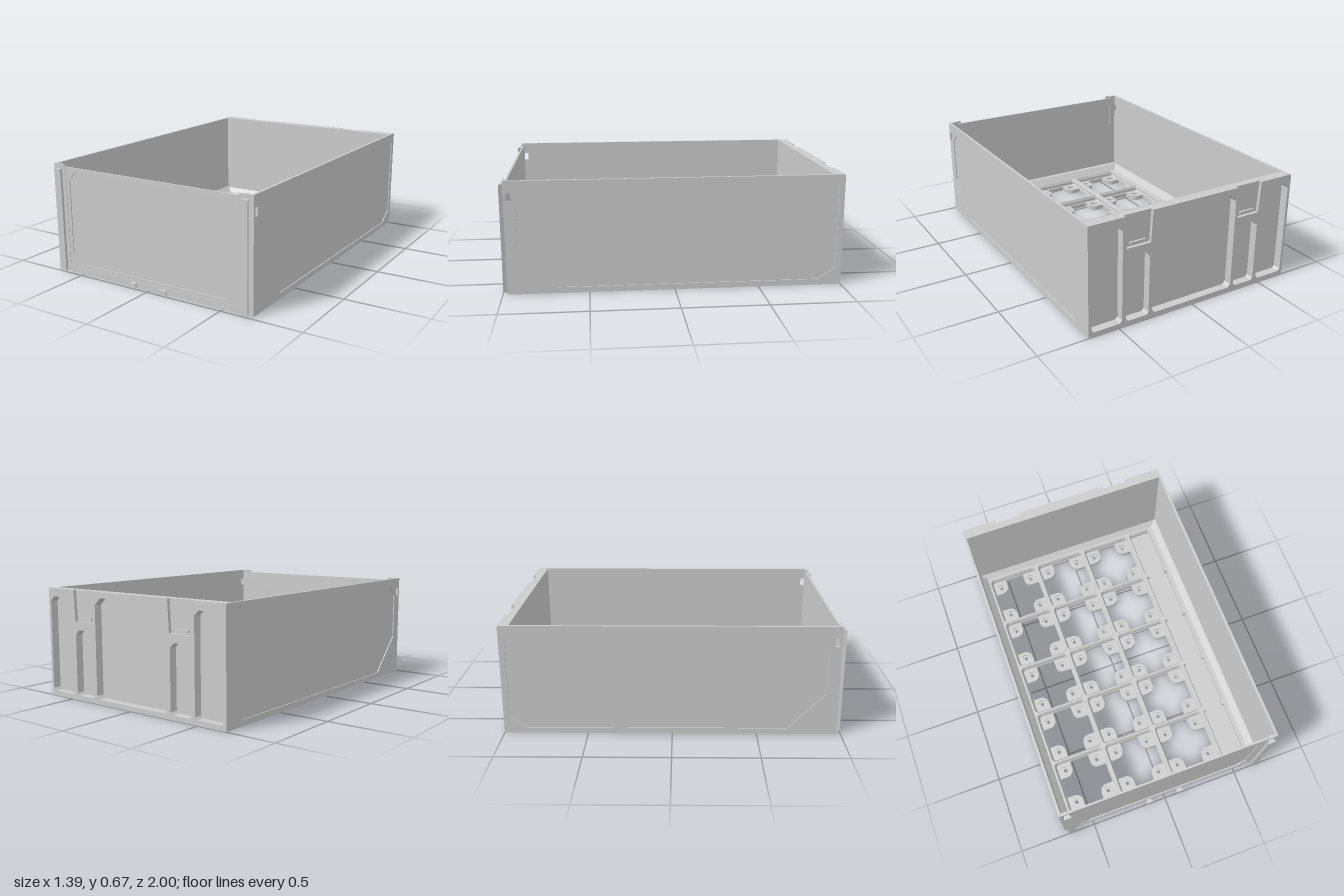
import * as THREE from 'three';

const mat = new THREE.MeshStandardMaterial({ color: 0xcccccc, side: THREE.DoubleSide });
const V = (p) => p.map(([a, b]) => new THREE.Vector2(a, b));
const W = 0.693, H = 0.67;

// Outlines
const rect = (x0, y0, x1, y1) => [[x0, y0], [x1, y0], [x1, y1], [x0, y1]];
// Rectangle with corner cuts: bottom left, bottom right, top right, top left
const cutRect = (x0, y0, x1, y1, [a, b, c, d]) => [
  [x0 + a, y0], [x1 - b, y0], [x1, y0 + b], [x1, y1 - c],
  [x1 - c, y1], [x0 + d, y1], [x0, y1 - d], [x0, y0 + a]];
const arc = (cx, cy, r, a0, a1, n = 6) => Array.from({ length: n + 1 }, (_, i) => {
  const a = a0 + (a1 - a0) * i / n;
  return [cx + r * Math.cos(a), cy + r * Math.sin(a)];
});
const circle = (cx, cy, r) => arc(cx, cy, r, 0, Math.PI * 2, 16).slice(0, -1);
const roundRect = (cx, cy, hx, hy, r) => [[1, 1], [-1, 1], [-1, -1], [1, -1]].flatMap(([sx, sy], i) =>
  arc(cx + sx * (hx - r), cy + sy * (hy - r), r, i * Math.PI / 2, (i + 1) * Math.PI / 2));
// Cross-shaped opening leaving a rounded pad in each corner
const crossHole = (cx, cy) => [0, 1, 2, 3].flatMap((i) => {
  const c = Math.cos(i * Math.PI / 2), s = Math.sin(i * Math.PI / 2);
  return [[0.16, 0.065], ...arc(0.111, 0.111, 0.046, -Math.PI / 2, -Math.PI), [0.065, 0.16]]
    .map(([x, y]) => [cx + x * c - y * s, cy + x * s + y * c]);
});

const shape = (outline, holes = []) => {
  const s = new THREE.Shape(V(outline));
  s.holes = holes.map((h) => new THREE.Path(V(h)));
  return s;
};
const extrude = (outline, holes, depth) =>
  new THREE.ExtrudeGeometry(shape(outline, holes), { depth, bevelEnabled: false });

// Walls through stacked rings, each given as [points, height]
function loft(rings) {
  const n = rings[0][0].length, pos = [], idx = [];
  rings.forEach(([pts, y]) => pts.forEach(([x, v]) => pos.push(x, y, -v)));
  for (let k = 0; k < rings.length - 1; k++) for (let i = 0; i < n; i++) {
    const a = k * n + i, b = k * n + (i + 1) % n;
    idx.push(a, a + n, b, b, a + n, b + n);
  }
  let g = new THREE.BufferGeometry();
  g.setAttribute('position', new THREE.Float32BufferAttribute(pos, 3));
  g.setIndex(idx);
  g = g.toNonIndexed();
  g.computeVertexNormals();
  return g;
}

export function createModel() {
  const root = new THREE.Group();
  const add = (name, geo, x = 0, y = 0, z = 0) => {
    const m = new THREE.Mesh(geo, mat);
    m.name = name;
    m.position.set(x, y, z);
    root.add(m);
    return m;
  };
  const box = (name, sx, sy, sz, x, y, z) => add(name, new THREE.BoxGeometry(sx, sy, sz), x, y, z);

  // Floor with cross openings and stepped screw holes
  const cells = [];
  for (const x of [-0.45, -0.09, 0.27]) for (let r = -2; r <= 2; r++) cells.push([x, r * 0.358]);
  const crosses = cells.map(([x, z]) => crossHole(x, z));
  const screws = (r) => cells.flatMap(([x, z]) => [[1, 1], [1, -1], [-1, 1], [-1, -1]]
    .map(([a, b]) => circle(x + a * 0.111, z + b * 0.111, r)));
  const floor = (name, r, y, d) => add(name,
    extrude(rect(-0.685, -0.97, 0.685, 0.995), [...crosses, ...screws(r)], d).rotateX(-Math.PI / 2), 0, y);
  floor('floorLower', 0.012, 0, 0.02);
  floor('floorUpper', 0.026, 0.02, 0.01);

  // Cell grid with sloped rib sides, and the long side tray
  const top = 0.07, strip = (d) => roundRect(0.538, 0, 0.082 - d, 0.89 - d, 0.016);
  const cellRing = (x, z, h) => roundRect(x, z, h, h, h - 0.145);
  add('ribTops', new THREE.ShapeGeometry(shape(rect(-0.645, -0.93, 0.645, 0.94),
    [...cells.map(([x, z]) => cellRing(x, z, 0.174)), strip(0)])).rotateX(-Math.PI / 2), 0, top);
  for (const [x, z] of cells)
    add('cellWall', loft([[0.16, 0.03], [0.165, 0.036], [0.165, 0.052], [0.174, top]]
      .map(([h, y]) => [cellRing(x, z, h), y])));
  add('trayWall', loft([[strip(0.01), 0.03], [strip(0.008), 0.052], [strip(0), top]]));
  for (const z of [-0.537, -0.179, 0.179, 0.537]) for (const s of [-1, 1])
    box('trayStub', 0.024, 0.04, 0.03, 0.538 + s * 0.072, 0.05, z);

  // Side walls with a shallow cut-corner panel and a slot near the front
  const slot = rect(-0.96, 0.55, -0.932, 0.6);
  const sideOutline = rect(-0.975, 0, 1, H);
  const sidePanel = [[-0.68, 0.035], [0.86, 0.035], [0.965, 0.105], [0.965, 0.615],
    [-0.84, 0.615], [-0.905, 0.55], [-0.905, 0.26]];
  const side = (name, holes, d, x) => add(name, extrude(sideOutline, holes, d).rotateY(Math.PI / 2), x);
  for (const s of [-1, 1]) {
    side('sideWall', [slot], 0.01, s * 0.682 - 0.005);
    side('sideFrame', [slot, sidePanel], 0.006, s * 0.69 - 0.003);
    // Sloped foot of the wall
    add('sideFoot', extrude([[s * 0.637, 0.03], [s * 0.68, 0.03], [s * 0.68, 0.11], [s * 0.637, top]],
      [], 1.88), 0, 0, -0.94);
  }

  // Front wall, built in layers around a cut-corner panel
  const fx = 0.685;
  add('frontWall', extrude(rect(-fx, 0, fx, 0.655), [], 0.006), 0, 0, 0.96);
  add('frontPanelFrame', extrude(rect(-fx, 0, fx, 0.655),
    [cutRect(-0.58, 0.06, 0.58, 0.635, [0.055, 0.055, 0.055, 0.055])], 0.006), 0, 0, 0.966);
  add('frontSurround', extrude([[-fx, 0], [fx, 0], [fx, H], [0.605, H], [0.605, 0.055], [0.59, 0.04],
    [-0.59, 0.04], [-0.605, 0.055], [-0.605, H], [-fx, H]], [], 0.003), 0, 0, 0.972);
  for (const s of [-1, 1]) box('frontPost', 0.05, H, 0.015, s * 0.66, H / 2, 0.9665);
  // Sloped ledges at the foot of the front and back walls (profile u = -z)
  const ledge = (name, pts) => add(name, extrude(pts, [], 1.36).rotateY(Math.PI / 2), -0.68);
  ledge('frontLedge', [[-0.965, 0.03], [-0.895, 0.03], [-0.895, top], [-0.93, 0.11], [-0.965, 0.11]]);
  ledge('backLedge', [[0.905, 0.03], [0.94, 0.03], [0.94, 0.105], [0.905, top]]);

  // Dovetail rails and lower tabs on the front
  for (const s of [-1, 1]) {
    add('frontRail', extrude([[-0.015, 0], [0.015, 0], [0.024, -0.025], [-0.024, -0.025]], [], 0.64)
      .rotateX(-Math.PI / 2), s * 0.647, 0.005, 0.975);
    add('frontTab', extrude([[-0.015, 0], [0.015, 0], [0.025, -0.025], [-0.025, -0.025]], [], 0.028)
      .rotateX(-Math.PI / 2), s * 0.108, 0.003, 0.975);
  }

  // Back wall: inner sheet, then two layers holding the pockets and top catches
  const pockets = [cutRect(-0.282, 0.03, 0.282, 0.635, [0.02, 0.02, 0.045, 0.045])];
  for (const s of [-1, 1]) {
    const pocket = (a, b, y1) => pockets.push(cutRect(Math.min(s * a, s * b), 0.03,
      Math.max(s * a, s * b), y1, [0.015, 0.015, 0.03, 0.03]));
    pocket(0.48, 0.675, 0.62);
    pocket(0.305, 0.455, 0.43);
  }
  const notch = (s) => [[s * 0.29, H], [s * 0.3, 0.48], [s * 0.455, 0.48], [s * 0.465, H]];
  add('backSheet', extrude(rect(-fx, 0, fx, H), [], 0.015), 0, 0, -0.95);
  add('backPockets', extrude(rect(-fx, 0, fx, H), pockets, 0.03), 0, 0, -0.98);
  add('backFace', extrude([[-fx, 0], [fx, 0], [fx, H], ...notch(1).reverse(), ...notch(-1), [-fx, H]],
    pockets, 0.02), 0, 0, -1);
  for (const s of [-1, 1]) box('backCatchLip', 0.1, 0.014, 0.012, s * 0.378, 0.5, -0.986);

  return root;
}
